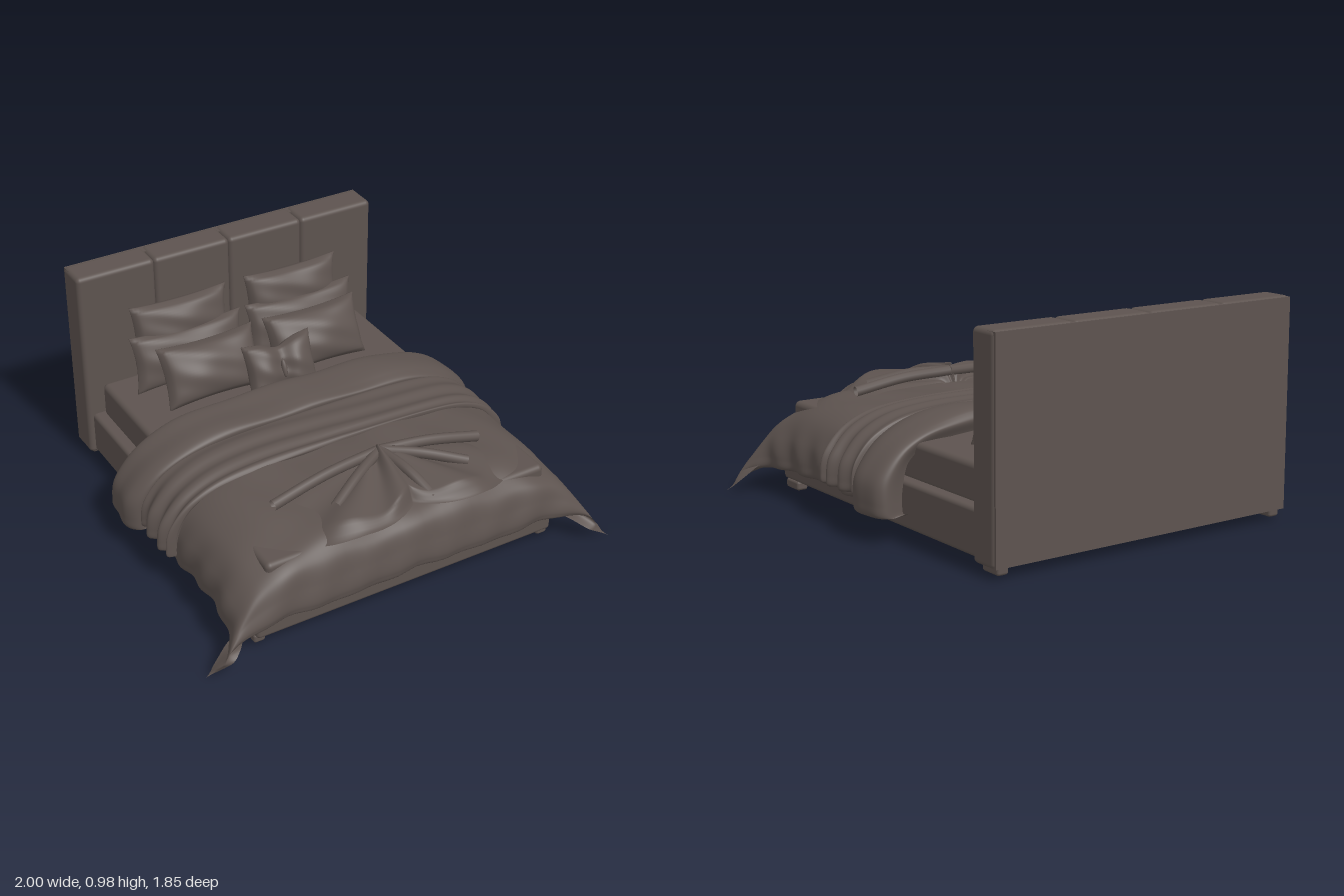
import * as THREE from 'three';
import { mergeVertices } from 'three/addons/utils/BufferGeometryUtils.js';
import { RoundedBoxGeometry } from 'three/addons/geometries/RoundedBoxGeometry.js';

const fabric = new THREE.MeshStandardMaterial({ color: 0x5d534f, side: THREE.DoubleSide });
fabric.name = 'taupe fabric';

const smooth = THREE.MathUtils.smoothstep;
const curve = (pts) => new THREE.CatmullRomCurve3(pts.map((p) => new THREE.Vector3(...p)));

export function createModel() {
  const bed = new THREE.Group();
  bed.name = 'bed';

  const add = (name, geometry, x = 0, y = 0, z = 0) => {
    const mesh = new THREE.Mesh(geometry, fabric);
    mesh.name = name;
    mesh.position.set(x, y, z);
    bed.add(mesh);
    return mesh;
  };

  // Box given by its limits, with rounded edges
  const block = (name, [x0, x1], [y0, y1], [z0, z1], r) =>
    add(name, new RoundedBoxGeometry(x1 - x0, y1 - y0, z1 - z0, 4, r),
      (x0 + x1) / 2, (y0 + y1) / 2, (z0 + z1) / 2);

  // Cloth sheet from a rule (u, v in 0..1) => [x, y, z]
  const sheet = (name, nu, nv, rule) => {
    const g = new THREE.PlaneGeometry(1, 1, nu, nv);
    const p = g.attributes.position;
    for (let i = 0; i < p.count; i++) p.setXYZ(i, ...rule(p.getX(i) + 0.5, p.getY(i) + 0.5));
    g.computeVertexNormals();
    return add(name, g);
  };

  // Frame and mattress
  block('base', [-0.735, 0.755], [0.062, 0.265], [-0.8, 0.8], 0.018);
  block('mattress', [-0.68, 0.7], [0.25, 0.422], [-0.78, 0.79], 0.025);

  // Headboard: flat back board and four upholstered panels
  add('headboardBack', new THREE.BoxGeometry(1.53, 0.93, 0.05), 0.007, 0.522, -0.908);
  block('headboardCore', [-0.75, 0.765], [0.06, 0.975], [-0.92, -0.8], 0.02);
  for (let i = 0; i < 4; i++) {
    const x = -0.763 + i * 0.385;
    block('headboardPanel', [x, x + 0.386], [0.052, 0.993], [-0.93, -0.78], 0.022);
  }

  // Feet
  for (const x of [-0.71, 0.73]) {
    for (const z of [-0.87, 0.72]) {
      block('foot', [x - 0.027, x + 0.027], [0.025, 0.068], [z - 0.055, z + 0.055], 0.012);
    }
  }
  for (const x of [-0.42, 0.445]) {
    add('middleFoot', new THREE.CylinderGeometry(0.013, 0.011, 0.05, 12), x, 0.045, 0.7);
  }

  // Half cross-section shared by all bedding: x outwards, drop from 0 (top) to 1 (hem)
  const side = curve([[0, 0, 0], [0.4, 0.02, 0], [0.6, 0.09, 0], [0.73, 0.25, 0],
    [0.81, 0.55, 0], [0.83, 0.85, 0], [0.815, 1, 0], [0.76, 0.98, 0]]);

  // Duvet: drapes over the sides and foot, with corners drawn out to points
  const foot = curve([[-0.05, 0, 0], [0.3, 0, 0], [0.6, 0.03, 0], [0.74, 0.1, 0],
    [0.82, 0.25, 0], [0.86, 0.55, 0], [0.87, 0.8, 0], [0.85, 0.9, 0], [0.79, 0.88, 0]]);
  sheet('duvet', 120, 110, (uu, v) => {
    const u = uu * 2 - 1, a = Math.abs(u), s = Math.sign(u);
    const c = side.getPoint(a), f = foot.getPoint(v);
    const corner = smooth(v, 0.2, 0.75) * smooth(a, 0.35, 0.85);
    const fold = Math.sin(c.x * 9 * s + f.x * 17 + 2 * Math.sin(f.x * 7)) * 0.006
      + Math.sin(c.x * 21 * s - f.x * 13) * 0.004;
    const pleat = Math.sin(f.x * 34 + c.y * 4) * 0.008 * smooth(a, 0.45, 0.7);
    const frontPleat = Math.sin(c.x * s * 30 + f.y * 5) * 0.005 * smooth(v, 0.4, 0.7);
    const drop = 1 - (1 - c.y) * (1 - f.y);
    const pos = new THREE.Vector3(
      s * (c.x + 0.09 * corner + pleat),
      0.482 - 0.34 * drop + fold - 0.05 * corner * c.y,
      f.x + frontPleat + 0.03 * corner * smooth(v, 0.4, 0.8));
    const tip = new THREE.Vector3(s > 0 ? 0.995 : -1, 0.01, s > 0 ? 0.92 : 0.84);
    pos.lerp(tip, Math.exp(-((1 - a) ** 2 + (1 - v) ** 2) / 0.06));
    return [pos.x, Math.max(pos.y, 0.01), pos.z];
  });

  // Band of bedding laid across the bed; path holds z and lift above the duvet
  const band = (name, path, hem, slant, ripple) => {
    const along = curve(path);
    sheet(name, 110, 60, (uu, v) => {
      const u = uu * 2 - 1, a = Math.abs(u), s = Math.sign(u);
      const c = side.getPoint(a), f = along.getPoint(v);
      const lift = f.y + ripple(v, c.x * s, c.y) * Math.sin(Math.PI * v);
      return [s * (c.x + lift * 1.4 * smooth(c.y, 0, 0.7)),
        0.477 - (0.477 - hem) * c.y + lift * (1 - c.y),
        f.x - slant * c.y];
    });
  };
  band('foldedDuvetEdge', [[-0.02, -0.02, 0], [-0.012, 0.025, 0], [-0.06, 0.048, 0], [-0.15, 0.052, 0],
    [-0.235, 0.045, 0], [-0.26, 0.015, 0], [-0.24, -0.04, 0]], 0.125, 0.025,
  (v, x, d) => Math.sin(x * 14 + v * 4) * 0.006 + Math.sin(v * 13 + x * 3) * 0.005);
  band('throwBlanket', [[0.25, -0.02, 0], [0.255, 0.014, 0], [0.2, 0.02, 0], [0.1, 0.022, 0],
    [0.0, 0.02, 0], [-0.02, -0.01, 0]], 0.17, 0,
  (v, x, d) => Math.sin(v * 32 + Math.sin(x * 4) * 1.5) * (0.006 + 0.012 * d));

  // Turned-back heap of duvet near the foot, fanning from one point
  sheet('turnedBackFold', 100, 40, (uu, r) => {
    const t = (uu * 2 - 1) * 1.5;
    const reach = 0.34 + 0.26 * Math.abs(Math.sin(t));
    const crease = Math.cos(t * 9 + r * 1.5);
    const rise = smooth(r, 0, 0.14) * (1 - smooth(r, 0.86, 1));
    const centre = 0.35 + 0.65 * Math.cos(t) ** 2;
    return [0.04 + Math.sin(t) * reach * r * (1 + 0.03 * crease),
      0.455 + rise * centre * (0.115 - 0.07 * r + 0.018 * crease)
        - 0.06 * smooth(r * Math.abs(Math.sin(t)), 0.55, 1),
      0.425 + Math.cos(t) * reach * r + 0.05 * r * Math.abs(Math.sin(t))];
  });
  // Raised rolled creases over the heap
  for (const [x, z, y] of [[-0.5, 0.52, 0.485], [-0.28, 0.66, 0.488], [0.13, 0.78, 0.46], [0.38, 0.66, 0.483], [0.52, 0.53, 0.485]]) {
    const path = curve([[0.05, 0.54, 0.47], [0.04 + (x - 0.04) * 0.5, 0.528, 0.46 + (z - 0.46) * 0.55], [x, y, z]]);
    add('foldCrease', new THREE.TubeGeometry(path, 20, 0.024, 10));
  }

  // Pillow: two puffed faces meeting in a seam, corners slightly drawn out
  const pillow = (name, w, h, t, [x, y, z], lean, seed, pinch = 0) => {
    let g = new THREE.BoxGeometry(2, 2, 2, 32, 24, 1);
    g.deleteAttribute('normal');
    g.deleteAttribute('uv');
    g = mergeVertices(g);
    const p = g.attributes.position;
    for (let i = 0; i < p.count; i++) {
      const u = p.getX(i), v = p.getY(i), side = p.getZ(i);
      const puff = Math.pow((1 - u * u) * (1 - v * v), 0.42);
      const waist = 1 - pinch * Math.exp(-u * u * 14);
      const crumple = Math.sin(u * 5 + seed + v * 3) * Math.sin(v * 4 - seed) * 0.008 * puff;
      p.setXYZ(i,
        u * w / 2 * (1 - 0.06 * (1 - v * v)),
        v * h / 2 * (1 - 0.1 * (1 - u * u)) * (1 - pinch * 0.5 * Math.exp(-u * u * 9)),
        side * (0.004 + t / 2 * puff * waist) + crumple);
    }
    g.computeVertexNormals();
    add(name, g, x, y, z).rotation.x = -lean;
  };
  for (const s of [-1, 1]) {
    pillow('backPillow', 0.49, 0.28, 0.14, [s * 0.296, 0.667, -0.71], 0.15, 1 + s);
    pillow('middlePillow', 0.57, 0.27, 0.14, [0.008 + s * 0.3, 0.555, -0.64], 0.25, 3 + s);
    pillow('frontPillow', 0.49, 0.29, 0.18, [0.01 + s * 0.275, 0.55, -0.475], 0.45, 5 + s);
  }
  pillow('bowCushion', 0.35, 0.26, 0.14, [0.01, 0.555, -0.315], 0.4, 2, 0.5);
  const knot = add('cushionKnot', new THREE.SphereGeometry(0.022, 16, 12), 0.01, 0.56, -0.277);
  knot.scale.set(0.6, 2, 0.7);
  knot.rotation.x = -0.4;

  return bed;
}
